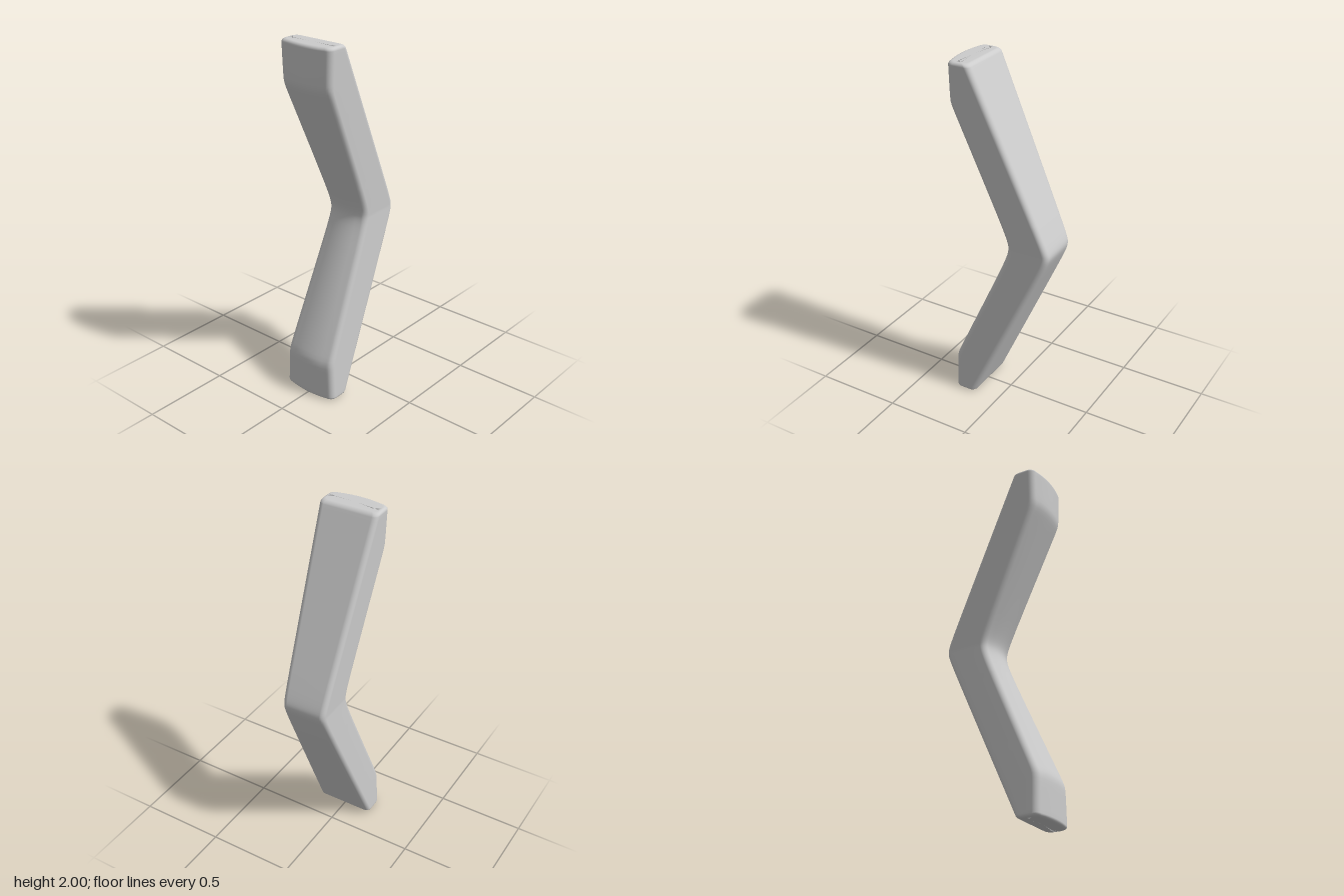
import * as THREE from 'three';

const lerp = THREE.MathUtils.lerp;

// Half-depth and side limits of the horizontal section, d = distance from the knee (0..1)
function limits(d) {
  const e = Math.sqrt(d * d + 0.03 * 0.03);            // softly rounded outer knee
  const f = Math.sqrt(d * d + 0.07 * 0.07);            // wider inner knee
  const slope = 0.05 + 0.446 * (0.99 - f);             // inner slanted edge
  const left = (slope - 0.295 + Math.sqrt((slope + 0.295) ** 2 + 0.0004)) / 2;
  return {
    right: 0.307 - 0.4585 * e,
    left: Math.max(left - 0.44, -0.295),
    half: lerp(0.129, 0.17, d),
  };
}

// Rounded section with a gently bulging inner (-x) side
function section(y, inset) {
  const d = Math.abs(y - 1);
  const l = limits(d);
  const xl = innerEdge(d) + inset, xr = l.right - inset, h = l.half - inset;
  const rr = 0.03, rl = 0.035, bulge = 0.016;
  const pts = [];
  const arc = (cx, cz, r, a0) => {
    for (let i = 0; i <= 6; i++) {
      const a = a0 + (i / 6) * Math.PI / 2;
      pts.push([cx + r * Math.cos(a), cz + r * Math.sin(a)]);
    }
  };
  arc(xr - rr, h - rr, rr, 0);
  arc(xl + bulge + rl, h - rl, rl, Math.PI / 2);
  for (let i = 1; i < 8; i++) {
    const t = 1 - i / 4;
    pts.push([xl + bulge * t * t, t * (h - rl)]);
  }
  arc(xl + bulge + rl, rl - h, rl, Math.PI);
  arc(xr - rr, rr - h, rr, Math.PI * 1.5);
  return pts.map(([x, z]) => [x, y, z]);
}

// Inner edge: vertical near the tips, slanted to the knee, with soft bends
function innerEdge(d) {
  const slant = 0.052 - 0.445 * (Math.sqrt(d * d + 0.0025));
  const k = slant + 0.295;
  return -0.295 + (k + Math.sqrt(k * k + 0.00006)) / 2;
}

export function createModel() {
  const rings = [];
  // Rounded lower tip, body stations, rounded upper tip
  const tip = 0.018, lower = [[0, 0.045]];
  for (let i = 0; i <= 5; i++) {
    const a = (i / 5) * Math.PI / 2;
    lower.push([tip * (1 - Math.cos(a)), tip * (1 - Math.sin(a))]);
  }
  for (let i = 1; i <= 16; i++) lower.push([0.018 + i * 0.022, 0]);
  for (let i = 1; i <= 10; i++) lower.push([0.37 + i * 0.045, 0]);
  for (let i = 1; i < 15; i++) lower.push([0.82 + i * 0.012, 0]);
  const upper = lower.map(([y, inset]) => [2 - y, inset]).reverse();
  for (const [y, inset] of [...lower, [1, 0], ...upper]) rings.push(section(y, inset));

  const n = rings[0].length, pos = rings.flat(2), idx = [];
  for (let j = 0; j < rings.length - 1; j++) {
    for (let i = 0; i < n; i++) {
      const a = j * n + i, b = j * n + (i + 1) % n;
      idx.push(a, a + n, b, b, a + n, b + n);
    }
  }
  // Flat end caps
  const base = rings.length * n, top = (rings.length - 1) * n;
  pos.push(-0.218, 0, 0, -0.218, 2, 0);
  for (let i = 0; i < n; i++) {
    const k = (i + 1) % n;
    idx.push(base, i, k, base + 1, top + k, top + i);
  }
  const geo = new THREE.BufferGeometry();
  geo.setAttribute('position', new THREE.Float32BufferAttribute(pos, 3));
  geo.setIndex(idx);
  geo.computeVertexNormals();

  const grey = new THREE.MeshStandardMaterial({ color: 0xcccccc });
  grey.name = 'light grey';
  const handle = new THREE.Mesh(geo, grey);
  handle.name = 'bentHandle';
  const group = new THREE.Group();
  group.name = 'angledHandle';
  group.add(handle);
  return group;
}
